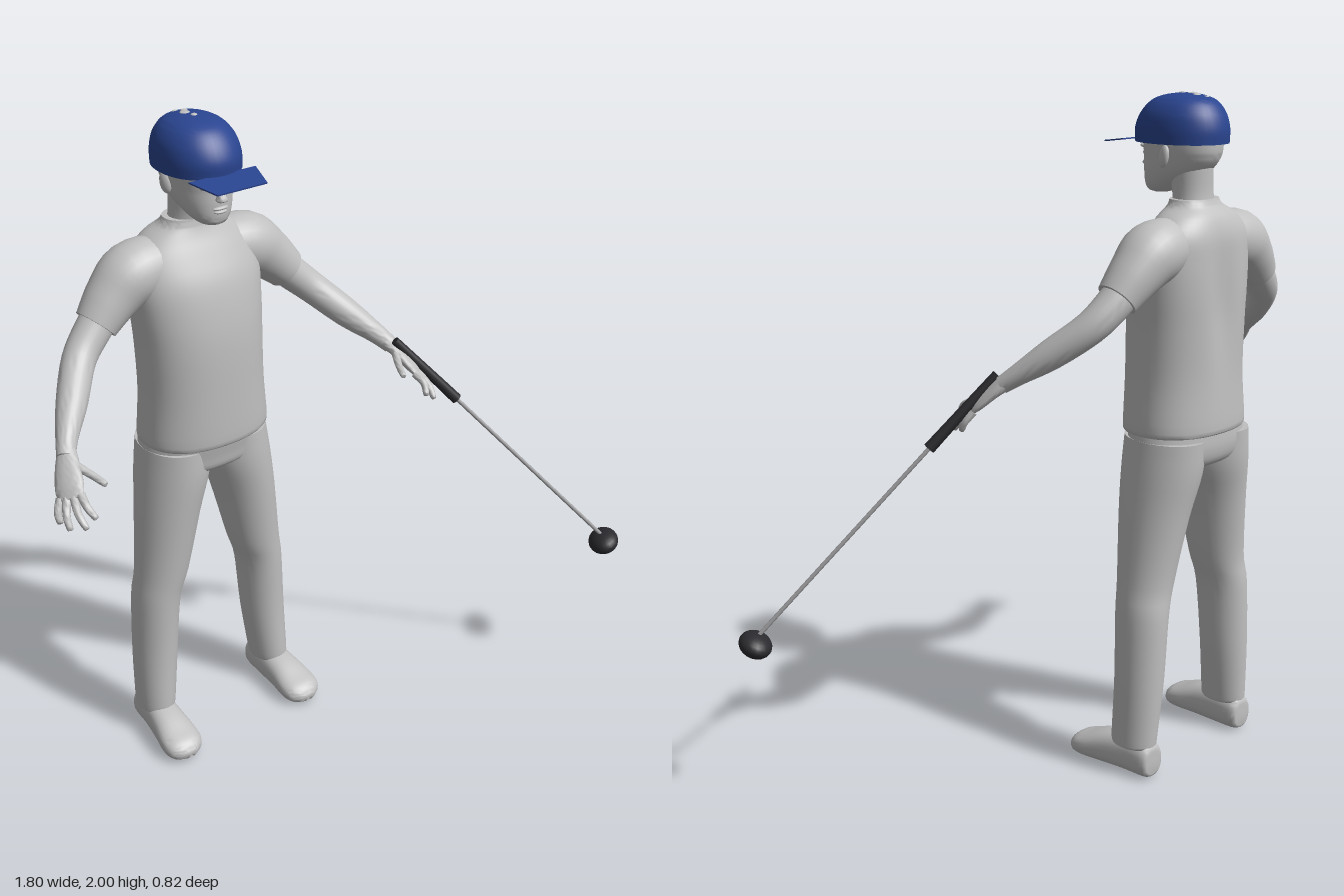
import * as THREE from 'three';
import { toCreasedNormals } from 'three/addons/utils/BufferGeometryUtils.js';

const V = (x, y, z) => new THREE.Vector3(x, y, z);
const Y = V(0, 1, 0), Z = V(0, 0, 1);

const mat = (name, color) => Object.assign(new THREE.MeshStandardMaterial({ color }), { name });

// Smooth skin through sections [x, y, z, radiusA, radiusB].
// axis: fixed section normal (otherwise follows the path); pow: squareness of the section.
function loft(rows, { axis = null, ref = Z, pow = 2, seg = 28, sub = 4, warp = null } = {}) {
  const path = new THREE.CatmullRomCurve3(rows.map(r => V(r[0], r[1], r[2])), false, 'catmullrom');
  const size = new THREE.CatmullRomCurve3(rows.map(r => V(r[3], r[4] ?? r[3], 0)), false, 'catmullrom');
  const n = (rows.length - 1) * sub, pos = [], idx = [];
  const bend = c => Math.sign(c) * Math.abs(c) ** (2 / pow);
  for (let i = 0; i <= n; i++) {
    const c = path.getPoint(i / n), r = size.getPoint(i / n);
    const t = axis ?? path.getTangent(i / n);
    const u = ref.clone().cross(t).normalize(), v = t.clone().cross(u).normalize();
    for (let k = 0; k < seg; k++) {
      const a = (k / seg) * Math.PI * 2;
      const p = c.clone().addScaledVector(u, bend(Math.cos(a)) * r.x).addScaledVector(v, bend(Math.sin(a)) * r.y);
      if (warp) warp(p);
      pos.push(p.x, p.y, p.z);
      if (i < n) {
        const A = i * seg + k, B = i * seg + (k + 1) % seg;
        idx.push(A, B, A + seg, B, B + seg, A + seg);
      }
    }
  }
  // end caps
  const first = path.getPoint(0), last = path.getPoint(1), f = (n + 1) * seg;
  pos.push(...first.toArray(), ...last.toArray());
  for (let k = 0; k < seg; k++) {
    const m = (k + 1) % seg;
    idx.push(f, m, k, f + 1, n * seg + k, n * seg + m);
  }
  const g = new THREE.BufferGeometry();
  g.setAttribute('position', new THREE.Float32BufferAttribute(pos, 3));
  g.setIndex(idx);
  return toCreasedNormals(g, 1.0);
}

function add(parent, name, geometry, material) {
  const m = new THREE.Mesh(geometry, material);
  m.name = name;
  parent.add(m);
  return m;
}

function ellipsoid(parent, name, material, p, r) {
  const m = add(parent, name, new THREE.SphereGeometry(1, 20, 14), material);
  m.position.set(...p);
  m.scale.set(...r);
  return m;
}

function rod(parent, name, material, a, b, ra, rb) {
  const m = add(parent, name, new THREE.CylinderGeometry(rb, ra, a.distanceTo(b), 14), material);
  m.position.copy(a).lerp(b, 0.5);
  m.quaternion.setFromUnitVectors(Y, b.clone().sub(a).normalize());
  return m;
}

export function createModel() {
  const body = mat('light grey', 0xc0c0c0), blue = mat('cap blue', 0x2a4590);
  const dark = mat('club black', 0x2b2b2f), steel = mat('shaft grey', 0xa2a2a4);
  const model = new THREE.Group();
  model.name = 'golfer';
  const person = new THREE.Group();
  person.name = 'person';
  person.position.x = -0.275;
  model.add(person);
  const up = { axis: Y };

  // shirt with a shallow groove down the back
  add(person, 'shirt', loft([
    [0, 1.045, -0.26, 0.192, 0.143], [0, 1.06, -0.26, 0.2, 0.149], [0, 1.2, -0.256, 0.189, 0.146],
    [0, 1.35, -0.257, 0.19, 0.145], [0, 1.45, -0.262, 0.196, 0.139], [0, 1.54, -0.27, 0.2, 0.126],
    [0, 1.61, -0.283, 0.186, 0.106], [0, 1.66, -0.287, 0.14, 0.083], [0, 1.69, -0.28, 0.09, 0.064],
    [0, 1.708, -0.277, 0.078, 0.058]], {
    axis: Y, pow: 2.25, seg: 48, warp: p => {
      if (p.z < -0.28) p.z += 0.022 * Math.exp(-((p.x / 0.045) ** 2) - (((p.y - 1.42) / 0.17) ** 2));
    }
  }), body);

  // trousers
  add(person, 'hips', loft([
    [0, 0.93, -0.268, 0.1, 0.07], [0, 0.955, -0.27, 0.19, 0.118], [0, 1.0, -0.272, 0.203, 0.132],
    [0, 1.06, -0.265, 0.193, 0.138]], { axis: Y, pow: 2.2, seg: 40 }), body);
  for (const s of [1, -1]) {
    const side = s > 0 ? 'left' : 'right';
    const mx = rows => rows.map(([x, ...rest]) => [s * x, ...rest]);

    add(person, side + 'TrouserLeg', loft(mx([
      [0.219, 0.095, -0.274, 0.057, 0.073], [0.217, 0.12, -0.274, 0.06, 0.075], [0.204, 0.3, -0.278, 0.069, 0.078],
      [0.19, 0.5, -0.273, 0.073, 0.084], [0.168, 0.6, -0.266, 0.082, 0.087], [0.135, 0.8, -0.266, 0.096, 0.11],
      [0.109, 0.93, -0.27, 0.107, 0.127], [0.1, 1.03, -0.272, 0.1, 0.13]]), up), body);

    add(person, side + 'Shoe', loft(mx([
      [0.218, 0.045, -0.353, 0.02, 0.02], [0.218, 0.055, -0.342, 0.043, 0.052], [0.219, 0.06, -0.26, 0.05, 0.06],
      [0.224, 0.053, -0.18, 0.057, 0.053], [0.227, 0.041, -0.115, 0.064, 0.04], [0.228, 0.035, -0.075, 0.055, 0.03],
      [0.228, 0.03, -0.052, 0.025, 0.014]]), {
      axis: Z, ref: Y, pow: 2.4, warp: p => { p.y = Math.max(p.y, 0); }
    }), body);

    // arm
    add(person, side + 'Sleeve', loft(mx([
      [0.09, 1.585, -0.283, 0.08], [0.185, 1.57, -0.283, 0.09], [0.25, 1.525, -0.28, 0.077],
      [0.315, 1.46, -0.27, 0.061]]), {}), body);
    add(person, side + 'Arm', loft(mx([
      [0.28, 1.495, -0.275, 0.052], [0.325, 1.45, -0.268, 0.051], [0.39, 1.388, -0.24, 0.047],
      [0.46, 1.315, -0.163, 0.043], [0.515, 1.26, -0.098, 0.031], [0.545, 1.225, -0.055, 0.025]]), {}), body);

    // hand: palm, four fingers and thumb
    const across = V(-0.68 * s, 0.29, 0.68);
    add(person, side + 'Palm', loft(mx([
      [0.535, 1.235, -0.067, 0.022, 0.026], [0.553, 1.21, -0.035, 0.018, 0.035],
      [0.572, 1.175, 0.005, 0.016, 0.041], [0.583, 1.152, 0.03, 0.01, 0.036]]), { ref: across }), body);
    const fingers = [
      [[0.6, 1.148, 0.004], [0.618, 1.12, 0.018], [0.62, 1.092, 0.032]],
      [[0.588, 1.152, 0.018], [0.607, 1.121, 0.045], [0.612, 1.088, 0.07]],
      [[0.574, 1.157, 0.032], [0.587, 1.132, 0.072], [0.583, 1.1, 0.108]],
      [[0.56, 1.164, 0.045], [0.564, 1.147, 0.08], [0.553, 1.12, 0.107]],
      [[0.538, 1.215, -0.025], [0.513, 1.197, 0.025], [0.497, 1.184, 0.068]]];
    fingers.forEach(([a, b, c], i) => {
      add(person, side + (i < 4 ? 'Finger' : 'Thumb'), loft(mx([
        [...a, 0.0125], [...b, 0.0105], [...c.map((q, j) => q * 0.88 + b[j] * 0.12), 0.0085], [...c, 0.003]
      ]), { ref: across, seg: 12 }), body);
    });

    // side of the face
    const ear = ellipsoid(person, side + 'Ear', body, [s * 0.09, 1.826, -0.238], [0.012, 0.032, 0.019]);
    ear.rotation.set(-0.2, s * -0.35, 0);
    ellipsoid(person, side + 'Eye', body, [s * 0.035, 1.828, -0.133], [0.016, 0.009, 0.012]);
    const brow = ellipsoid(person, side + 'Brow', body, [s * 0.036, 1.848, -0.127], [0.028, 0.008, 0.014]);
    brow.rotation.y = s * 0.35;
  }

  // neck and head
  add(person, 'neck', loft([
    [0, 1.66, -0.28, 0.07, 0.058], [0, 1.72, -0.272, 0.061, 0.056], [0, 1.8, -0.262, 0.06, 0.065]], up), body);
  add(person, 'head', loft([
    [0, 1.716, -0.155, 0.018, 0.02], [0, 1.724, -0.162, 0.04, 0.042], [0, 1.745, -0.18, 0.06, 0.066],
    [0, 1.78, -0.212, 0.077, 0.1], [0, 1.82, -0.23, 0.086, 0.117], [0, 1.86, -0.232, 0.092, 0.122],
    [0, 1.91, -0.232, 0.092, 0.12], [0, 1.955, -0.232, 0.07, 0.085], [0, 1.97, -0.232, 0.03, 0.03]],
    { axis: Y, pow: 2.15, seg: 36 }), body);
  add(person, 'nose', loft([
    [0, 1.786, -0.112, 0.008, 0.008], [0, 1.794, -0.106, 0.017, 0.017], [0, 1.808, -0.109, 0.011, 0.015],
    [0, 1.845, -0.12, 0.008, 0.011]], { axis: Y, seg: 16 }), body);
  for (const [y, w] of [[1.769, 0.024], [1.759, 0.02]])
    ellipsoid(person, 'lip', body, [0, y, -0.115], [w, 0.0055, 0.01]);

  // cap
  add(person, 'capCrown', loft([
    [0, 1.86, -0.228, 0.113, 0.141], [0, 1.9, -0.228, 0.112, 0.142], [0, 1.94, -0.231, 0.103, 0.127],
    [0, 1.972, -0.234, 0.08, 0.1], [0, 1.987, -0.236, 0.052, 0.066], [0, 1.994, -0.237, 0.02, 0.025]],
    { axis: Y, pow: 2.1, seg: 40 }), blue);
  const brimShape = new THREE.Shape([[-0.104, 0], [0.104, 0], [0.077, 0.094], [-0.077, 0.094]]
    .map(p => new THREE.Vector2(...p)));
  const brim = add(person, 'capBrim', new THREE.ExtrudeGeometry(brimShape, { depth: 0.004, bevelEnabled: false }), blue);
  brim.position.set(0, 1.868, -0.098);
  brim.rotation.x = Math.PI / 2 + 0.13;

  // light flecks on top of the cap
  for (const [x, z, r] of [[-0.012, -0.3, 0.009], [0.004, -0.28, 0.011], [-0.008, -0.258, 0.014], [0, -0.225, 0.009]])
    ellipsoid(person, 'capFleck', body, [x, 1.994 - (z + 0.236) ** 2 * 2.2, z], [r, 0.004, r]);

  // golf club
  const club = new THREE.Group();
  club.name = 'golfClub';
  model.add(club);
  const top = V(0.265, 1.25, -0.03), tip = V(0.838, 0.53, 0.352);
  rod(club, 'grip', dark, top, top.clone().lerp(tip, 0.28), 0.013, 0.017);
  rod(club, 'shaft', steel, top.clone().lerp(tip, 0.27), tip, 0.006, 0.006);
  const head = ellipsoid(club, 'clubHead', dark, [0.845, 0.507, 0.355], [0.061, 0.034, 0.048]);
  head.quaternion.setFromUnitVectors(Y, V(-0.3, 1, -0.25).normalize())
    .multiply(new THREE.Quaternion().setFromAxisAngle(Y, 1.0));

  return model;
}
